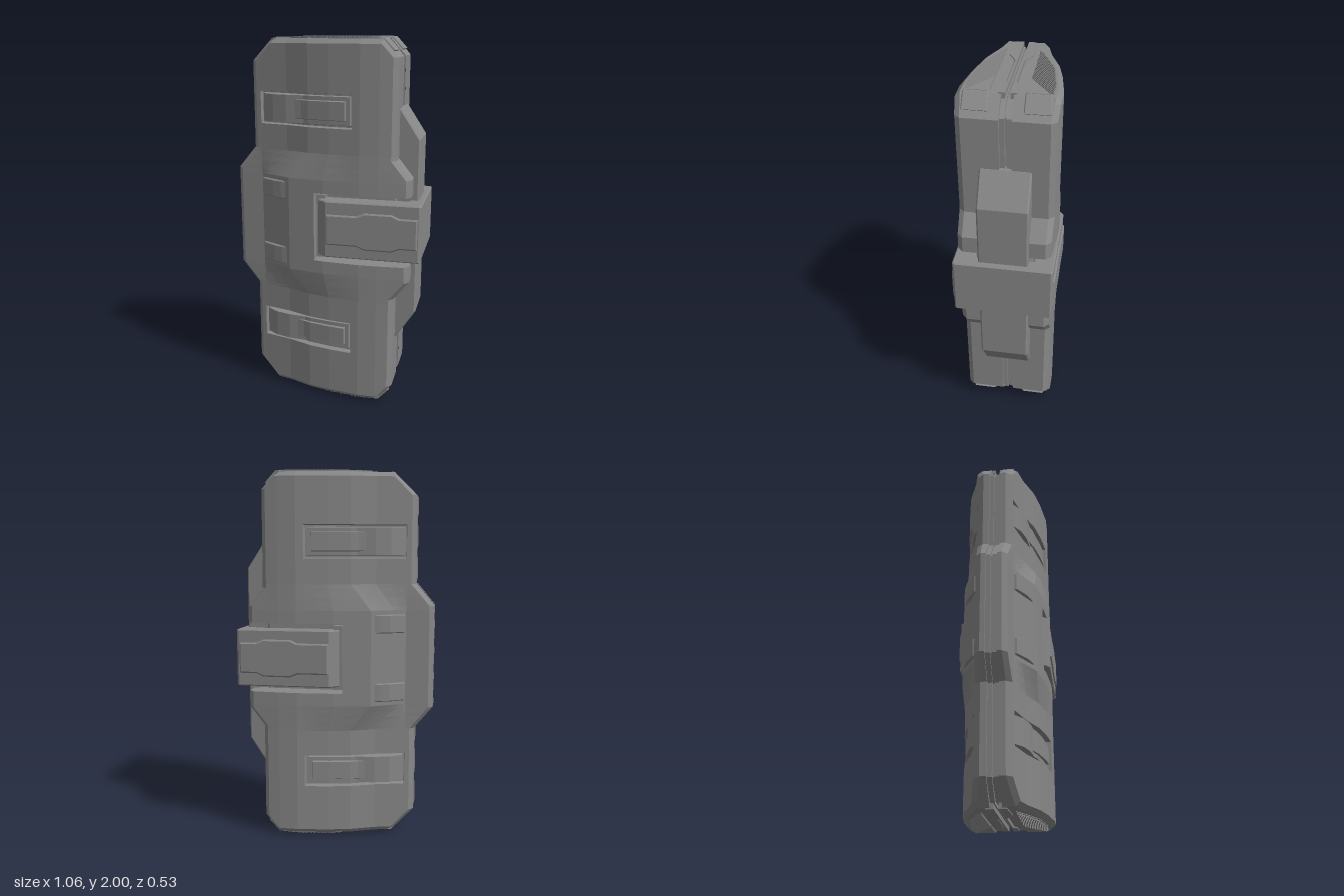
import * as THREE from 'three';

const material = new THREE.MeshStandardMaterial({ color: 0x888888, flatShading: true });
const BASE = 0.032, BEVEL = 0.025, END = 0.99, POCKET = 0.626;

// Piecewise linear lookup through [position, value] pairs
function lerpTable(t, v) {
  if (v <= t[0][0]) return t[0][1];
  for (let i = 1; i < t.length; i++) {
    const [a, p] = t[i - 1], [b, q] = t[i];
    if (v <= b) return p + (q - p) * (v - a) / (b - a);
  }
  return t[t.length - 1][1];
}

// Outline of one half shell, measured from the mid height
const LEFT = [[0.28, -0.53], [0.40, -0.43], [0.87, -0.43], [0.99, -0.31]];
const RIGHT = [[0.185, 0.40], [0.189, 0.47], [0.28, 0.47], [0.38, 0.39], [0.90, 0.39], [0.99, 0.31]];
// Thickness across the middle band and across the ends; matching creases blend into each other
const MID = [[-0.53, 0.08], [-0.38, 0.10], [-0.32, 0.132], [-0.2, 0.198], [0, 0.235], [0.2, 0.25], [0.30, 0.247], [0.47, 0.235]];
const OUTER = [[-0.43, 0.088], [-0.38, 0.10], [-0.22, 0.143], [-0.09, 0.195], [0.03, 0.222], [0.2, 0.246], [0.30, 0.245], [0.39, 0.235]];
const STRAP = [[-0.37, -0.014], [-0.3, 0.014], [-0.22, 0.016], [-0.12, -0.014], [0.16, -0.022]];
// Column positions as [ends, middle band]
const COLUMNS = [[-0.42, -0.5], [-0.38, -0.38], [-0.376, -0.378], [-0.368, -0.374], [-0.364, -0.37], [-0.3, -0.35],
  [-0.22, -0.32], [-0.172, -0.27], [-0.168, -0.265], [-0.13, -0.23], [-0.12, -0.225], [-0.09, -0.2],
  [-0.03, -0.052], [-0.01, -0.048], [0.03, 0], [0.118, 0.1], [0.122, 0.104], [0.144, 0.125], [0.148, 0.13],
  [0.156, 0.15], [0.16, 0.155], [0.2, 0.2], [0.3, 0.3], [0.35, 0.38], [0.37, 0.44]];

const mix = THREE.MathUtils.lerp;
const blend = y => THREE.MathUtils.clamp((Math.abs(y) - 0.26) / 0.14, 0, 1);

function height(x, y) {
  const ay = Math.abs(y), k = blend(y);
  if (ay < 0.187 && x > -0.05) return 0.14; // clasp slot
  let z = lerpTable(MID.map(([mx, mz], i) => [mix(mx, OUTER[i][0], k), mix(mz, OUTER[i][1], k)]), x);
  const dy = Math.abs(ay - POCKET);
  if (x > -0.378 && x < 0.158 && dy < 0.087) { // strap pocket
    let drop = -0.034;
    if (x > -0.366 && x < 0.146 && dy < 0.075) drop = lerpTable(STRAP, x);
    if (x > -0.17 && x < 0.12 && dy < 0.05) drop = Math.max(drop, -0.006);
    z += drop;
  }
  return z;
}

function shellGeometry() {
  const half = [0.1, 0.185, 0.189, 0.26, 0.28, 0.33, 0.38, 0.40];
  for (const s of [-1, 1]) for (const d of [0.089, 0.085, 0.077, 0.073, 0.052, 0.048]) half.push(POCKET + s * d);
  half.push(0.80, 0.87, 0.90, 0.94, END - BEVEL);
  const ys = [...half.map(v => -v), 0, ...half].sort((a, b) => a - b);
  const row = (y, cut, flat) => {
    const l = lerpTable(LEFT, Math.abs(y)), r = lerpTable(RIGHT, Math.abs(y));
    const top = x => flat ? BASE : height(x, y) - cut;
    const edge = x => flat ? BASE : height(x, y) - BEVEL;
    const xs = COLUMNS.map(([end, mid]) => THREE.MathUtils.clamp(mix(mid, end, blend(y)), l + BEVEL, r - BEVEL));
    const inner = [l + BEVEL, ...xs, r - BEVEL];
    return [[l, y, BASE], [l, y, edge(l)], ...inner.map(x => [x, y, top(x)]), [r, y, edge(r)], [r, y, BASE]];
  };
  const rows = [row(-END, 0, true), row(-END, BEVEL), ...ys.map(y => row(y, 0)), row(END, BEVEL), row(END, 0, true)];
  const pos = [], va = new THREE.Vector3(), vb = new THREE.Vector3(), vc = new THREE.Vector3();
  const tri = (a, b, c) => {
    va.set(...a); vb.set(...b).sub(va); vc.set(...c).sub(va);
    if (vb.cross(vc).length() > 1e-9) pos.push(...a, ...b, ...c);
  };
  for (let j = 1; j < rows.length; j++) for (let i = 1; i < rows[j].length; i++) {
    const a = rows[j - 1][i - 1], b = rows[j - 1][i], c = rows[j][i], d = rows[j][i - 1];
    tri(a, b, c); tri(a, c, d);
  }
  const g = new THREE.BufferGeometry();
  g.setAttribute('position', new THREE.Float32BufferAttribute(pos, 3));
  g.computeVertexNormals();
  return g;
}

function add(parent, name, geometry, x = 0, y = 0, z = 0) {
  const m = new THREE.Mesh(geometry, material);
  m.name = name;
  m.position.set(x, y, z);
  parent.add(m);
}

// Extrusion centred on its depth, with an optional bevel kept inside the outline
function prism(points, depth, bevel = 0) {
  const shape = new THREE.Shape(points.map(p => new THREE.Vector2(...p)));
  const g = new THREE.ExtrudeGeometry(shape, {
    depth: depth - 2 * bevel, bevelEnabled: bevel > 0, bevelSize: bevel,
    bevelThickness: bevel, bevelOffset: -bevel, bevelSegments: 1,
  });
  return g.translate(0, 0, -(depth - 2 * bevel) / 2);
}
// Same, for a plan drawn in x and z and extruded along y
const prismY = (points, depth, bevel) => prism(points, depth, bevel).rotateX(Math.PI / 2);

function outline(inset) {
  const right = [[0.47, 0.19], [0.47, 0.28], [0.39, 0.38], [0.39, 0.90], [0.31, 0.99]];
  const left = [[-0.31, 0.99], [-0.43, 0.87], [-0.43, 0.40], [-0.53, 0.28]];
  const flip = a => a.map(([x, y]) => [x, -y]).reverse();
  return [[0.40, 0.185], ...right, ...left, ...flip(left), ...flip(right), [0.40, -0.185]]
    .map(([x, y]) => [x - Math.sign(x) * inset, Math.abs(y) > 0.95 ? y - Math.sign(y) * inset : y]);
}

function endVent(parent, s) {
  // Plate, diagonal ribs and corner pad on one narrow end
  const plate = [[-0.21, 0.085], [0.30, 0.085], [0.30, 0.205], [0.19, 0.212], [0, 0.185], [-0.12, 0.135]];
  add(parent, 'ventPlate', prismY(plate, 0.02), 0, s * 0.984, 0);
  const limit = [[-0.21, 0.085], [-0.12, 0.13], [0, 0.18], [0.19, 0.208], [0.3, 0.202]];
  for (let i = 0; i < 20; i++) {
    const x0 = -0.19 + i * 0.0165;
    let t = 0;
    while (t < 0.17 && 0.088 + t * 0.7 < lerpTable(limit, x0 + t)) t += 0.004;
    if (t < 0.012) continue;
    const rib = [[x0, 0.087], [x0 + 0.007, 0.087], [x0 + t + 0.007, 0.087 + t * 0.7], [x0 + t, 0.087 + t * 0.7]];
    add(parent, 'ventRib', prismY(rib, 0.007), 0, s * 0.9965, 0);
  }
  add(parent, 'ventPanel', prismY([[0.14, 0.088], [0.298, 0.088], [0.298, 0.195]], 0.007), 0, s * 0.9965, 0);
  const pad = [[0.285, 0.998], [0.315, 0.998], [0.373, 0.935], [0.34, 0.91], [0.285, 0.95]];
  add(parent, 'cornerPad', prism(pad.map(([x, y]) => [x, y * s]), 0.125, 0.005), 0, 0, 0.145);
  const lip = [[-0.30, 0.012], [-0.30, 0.052], [-0.13, 0.06], [-0.06, 0.022], [0.18, 0.022],
    [0.21, 0.045], [0.30, 0.045], [0.30, 0.012]];
  add(parent, 'seamLip', prismY(lip, 0.03), 0, s * 0.981, 0);
}

function halfCase(name) {
  const half = new THREE.Group();
  half.name = name;
  add(half, 'shell', shellGeometry());
  add(half, 'shellBack', prism(outline(0.001), 0.006), 0, 0, 0.033);
  add(half, 'seamPlate', prism(outline(0.018), 0.026), 0, 0, 0.018);
  const tab = [[-0.38, 0.07], [-0.22, 0.07], [-0.22, 0.187], [-0.25, 0.18], [-0.30, 0.162], [-0.375, 0.115]];
  for (const s of [-1, 1]) {
    endVent(half, s);
    add(half, 'sideTab', prismY(tab, 0.1, 0.005), 0, s * 0.187, 0);
  }
  // Raised stepped panel and hinge pin of the clasp arm
  const edge = [[0.015, 0.09], [0.19, 0.09], [0.23, 0.108], [0.38, 0.108], [0.42, 0.09], [0.52, 0.09]];
  const panel = [...edge.map(([x, y]) => [x, -y]), ...edge.reverse()];
  add(half, 'claspPanel', prism(panel, 0.034, 0.014), 0, 0, 0.247);
  add(half, 'claspPin', new THREE.BoxGeometry(0.05, 0.35, 0.06), -0.02, 0, 0.165);
  return half;
}

export function createModel() {
  const model = new THREE.Group();
  model.name = 'case';
  const body = new THREE.Group();
  body.name = 'body';
  body.position.y = 1;
  model.add(body);

  const back = halfCase('backHalf');
  back.rotation.x = Math.PI;
  body.add(halfCase('frontHalf'), back);

  // Core closing the gap between the halves
  add(body, 'seamCore', prism(outline(0.035), 0.02));

  // Spine bar along the right edge
  const spine = [[0.33, -0.64], [0.395, -0.64], [0.5, -0.48], [0.5, 0.48], [0.395, 0.64], [0.33, 0.64]];
  add(body, 'spine', prism(spine, 0.256, 0.008));

  // U-shaped clasp wrapping both halves
  const arm = [[0.45, 0.15], [-0.03, 0.15], [-0.03, 0.215], [0.02, 0.256], [0.518, 0.256], [0.53, 0.246]];
  const clasp = [...arm, ...arm.map(([x, z]) => [x, -z]).reverse()];
  add(body, 'clasp', prismY(clasp, 0.31, 0.006));
  return model;
}
